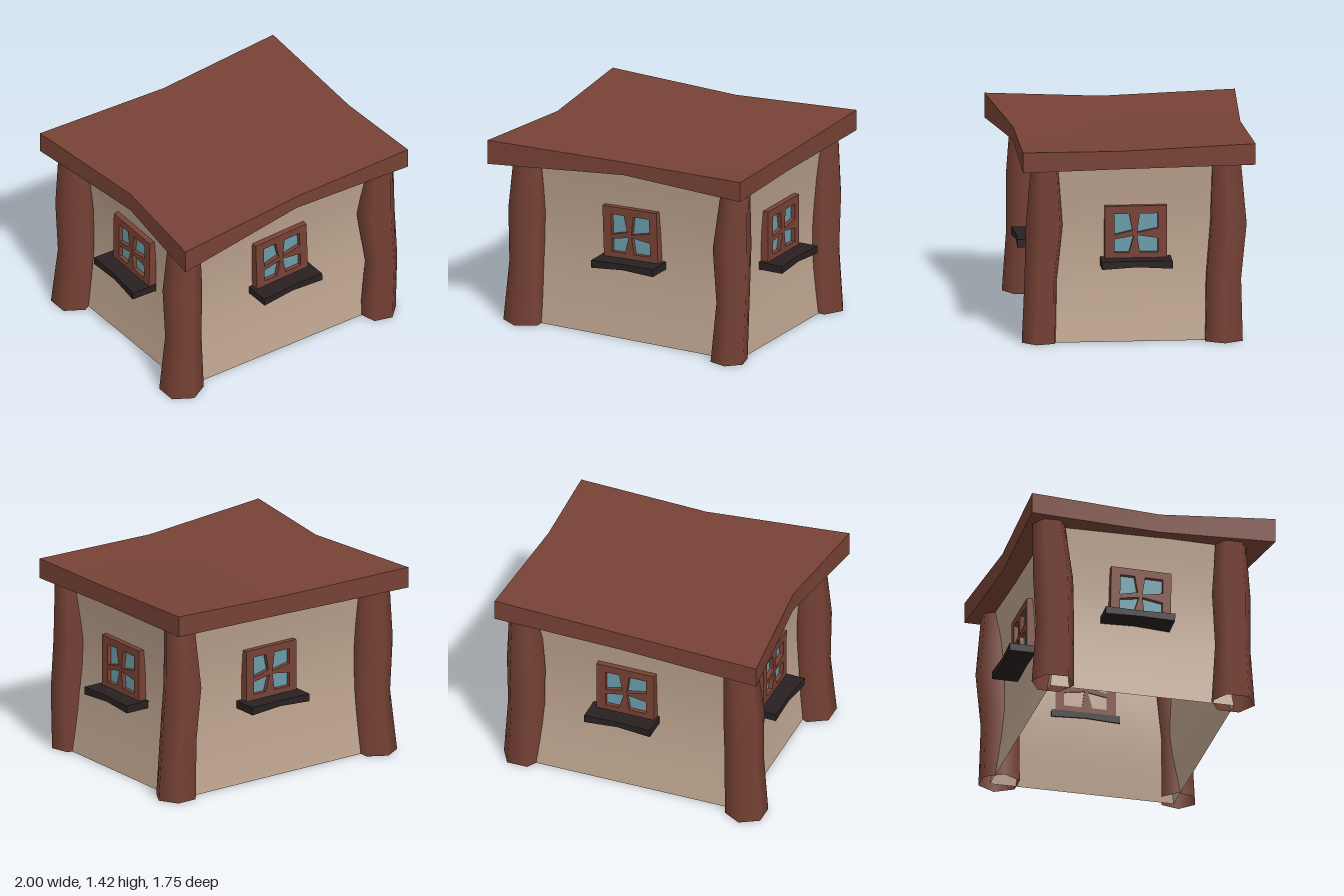
import * as THREE from 'three';

const material = (name, color, side = THREE.FrontSide) => {
  const m = new THREE.MeshStandardMaterial({ color, side });
  m.name = name;
  return m;
};

export function createModel() {
  const wood = material('red brown wood', 0x774235, THREE.DoubleSide);
  const plaster = material('sandy plaster', 0xbea48f, THREE.DoubleSide);
  const glass = material('blue glass', 0x6a9daa);
  const darkWood = material('dark sill wood', 0x292121);

  const model = new THREE.Group();
  model.name = 'hut';
  const add = (parent, name, geometry, mat) => {
    const mesh = new THREE.Mesh(geometry, mat);
    mesh.name = name;
    parent.add(mesh);
    return mesh;
  };

  // Warped roof slab: [x, z, bottom, top] on a 3 x 3 grid, back to front
  const roofGrid = [
    [-1, -0.88, 1.225, 1.375], [0.02, -0.83, 1.235, 1.37], [0.975, -0.855, 1.27, 1.42],
    [-0.9, 0.07, 1.23, 1.365], [0.02, 0, 1.25, 1.37], [0.952, 0.1, 1.25, 1.378],
    [-1, 0.875, 1.205, 1.38], [0.03, 0.765, 1.27, 1.365], [0.975, 0.775, 1.24, 1.385],
  ];
  const roof = new THREE.BoxGeometry(2, 2, 2, 2, 1, 2);
  const rp = roof.attributes.position;
  for (let i = 0; i < rp.count; i++) {
    const col = Math.round(rp.getX(i)) + 1;
    const row = Math.round(rp.getZ(i)) + 1;
    const [x, z, bottom, top] = roofGrid[row * 3 + col];
    rp.setXYZ(i, x, rp.getY(i) > 0 ? top : bottom, z);
  }
  roof.computeVertexNormals();
  add(model, 'roof', roof, wood);

  // Four thin walls, open below, bowed inward at mid height
  const west = -0.81, east = 0.867, front = 0.625, back = -0.7, wallHeight = 1.28;
  const midX = (west + east) / 2, midZ = (front + back) / 2;
  const wall = (name, width, x, z, turn) => {
    const g = new THREE.PlaneGeometry(width, wallHeight, 1, 8);
    const p = g.attributes.position;
    for (let i = 0; i < p.count; i++) {
      const bow = 0.06 * Math.cos((Math.PI * p.getY(i)) / wallHeight);
      p.setX(i, p.getX(i) * (1 - (2 * bow) / width));
      p.setZ(i, -bow);
    }
    g.computeVertexNormals();
    const mesh = add(model, name, g, plaster);
    mesh.position.set(x, wallHeight / 2, z);
    mesh.rotation.y = turn;
  };
  wall('frontWall', east - west, midX, front, 0);
  wall('backWall', east - west, midX, back, Math.PI);
  wall('leftWall', front - back, east, midZ, Math.PI / 2);
  wall('rightWall', front - back, west, midZ, -Math.PI / 2);

  // Crooked six-sided posts: each ring is [centre x, centre z, radius], bottom to top
  const ringHeights = [0, 0.44, 0.83, 1.28];
  const post = (name, turn, rings) => {
    const g = new THREE.CylinderGeometry(1, 1, 3, 6, 3, true, turn);
    const p = g.attributes.position;
    for (let i = 0; i < p.count; i++) {
      const k = Math.round(p.getY(i) + 1.5);
      const [cx, cz, r] = rings[k];
      p.setXYZ(i, cx + p.getX(i) * r, ringHeights[k], cz + p.getZ(i) * r);
    }
    add(model, name, g, wood);
  };
  post('frontRightPost', 0,
    [[-0.845, 0.61, 0.156], [-0.83, 0.61, 0.127], [-0.83, 0.6, 0.139], [-0.815, 0.6, 0.108]]);
  post('frontLeftPost', Math.PI / 12,
    [[0.81, 0.643, 0.134], [0.84, 0.64, 0.12], [0.815, 0.61, 0.14], [0.845, 0.61, 0.104]]);
  post('backLeftPost', Math.PI / 6,
    [[0.84, -0.64, 0.15], [0.82, -0.64, 0.139], [0.81, -0.675, 0.144], [0.825, -0.66, 0.115]]);
  post('backRightPost', 0,
    [[-0.853, -0.692, 0.153], [-0.827, -0.67, 0.138], [-0.83, -0.685, 0.145], [-0.815, -0.715, 0.115]]);

  // Crooked window: frame with four uneven panes and a sagging sill
  const outline = [[-0.217, -0.185], [0.217, -0.185], [0.217, 0.185], [-0.217, 0.185]];
  const panes = [
    [[-0.15, 0.13], [-0.047, 0.13], [-0.024, 0.01], [-0.15, -0.02]],
    [[0.028, 0.13], [0.156, 0.13], [0.156, 0.024], [0.01, -0.005]],
    [[-0.15, -0.052], [-0.014, -0.028], [-0.047, -0.146], [-0.15, -0.146]],
    [[0.01, -0.024], [0.156, -0.047], [0.156, -0.146], [0.028, -0.146]],
  ];
  const points = (list) => list.map(([x, y]) => new THREE.Vector2(x, y));
  const frameShape = new THREE.Shape(points(outline));
  frameShape.holes = panes.map((pane) => new THREE.Path(points(pane)));
  const frameGeometry = new THREE.ExtrudeGeometry(frameShape, { depth: 0.064, bevelEnabled: false });
  frameGeometry.translate(0, 0, -0.01);
  const glassGeometry = new THREE.ShapeGeometry(panes.map((pane) => new THREE.Shape(points(pane))));
  glassGeometry.translate(0, 0, 0.024);

  const sillGeometry = new THREE.BoxGeometry(0.495, 0.055, 0.195, 2, 1, 1);
  sillGeometry.translate(0, -0.2125, 0.0855);
  const sp = sillGeometry.attributes.position;
  for (let i = 0; i < sp.count; i++) {
    if (Math.abs(sp.getX(i)) > 0.01) continue;
    if (sp.getY(i) < -0.22) sp.setY(i, sp.getY(i) + 0.012);
    if (sp.getZ(i) > 0.06) sp.setZ(i, sp.getZ(i) - 0.012);
  }
  sillGeometry.computeVertexNormals();

  // Windows sit back on the bowed part of each wall
  const inset = 0.055;
  const windowUnit = (name, x, z, turn, tilt, sillShift = 0, sillYaw = 0) => {
    const g = new THREE.Group();
    g.name = name;
    add(g, 'windowFrame', frameGeometry, wood);
    add(g, 'windowPanes', glassGeometry, glass);
    const sill = add(g, 'windowSill', sillGeometry, darkWood);
    sill.position.x = sillShift;
    sill.rotation.y = sillYaw;
    g.position.set(x, 0.782, z);
    g.rotation.set(0, turn, tilt, 'YXZ');
    model.add(g);
  };
  windowUnit('frontWindow', 0.003, front - inset, 0, 0.035);
  windowUnit('leftWindow', east - inset, -0.025, Math.PI / 2, 0);
  windowUnit('backWindow', 0.055, back + inset, Math.PI, 0, -0.012);
  windowUnit('rightWindow', west + inset, -0.045, -Math.PI / 2, -0.02, -0.025, -0.04);

  return model;
}
